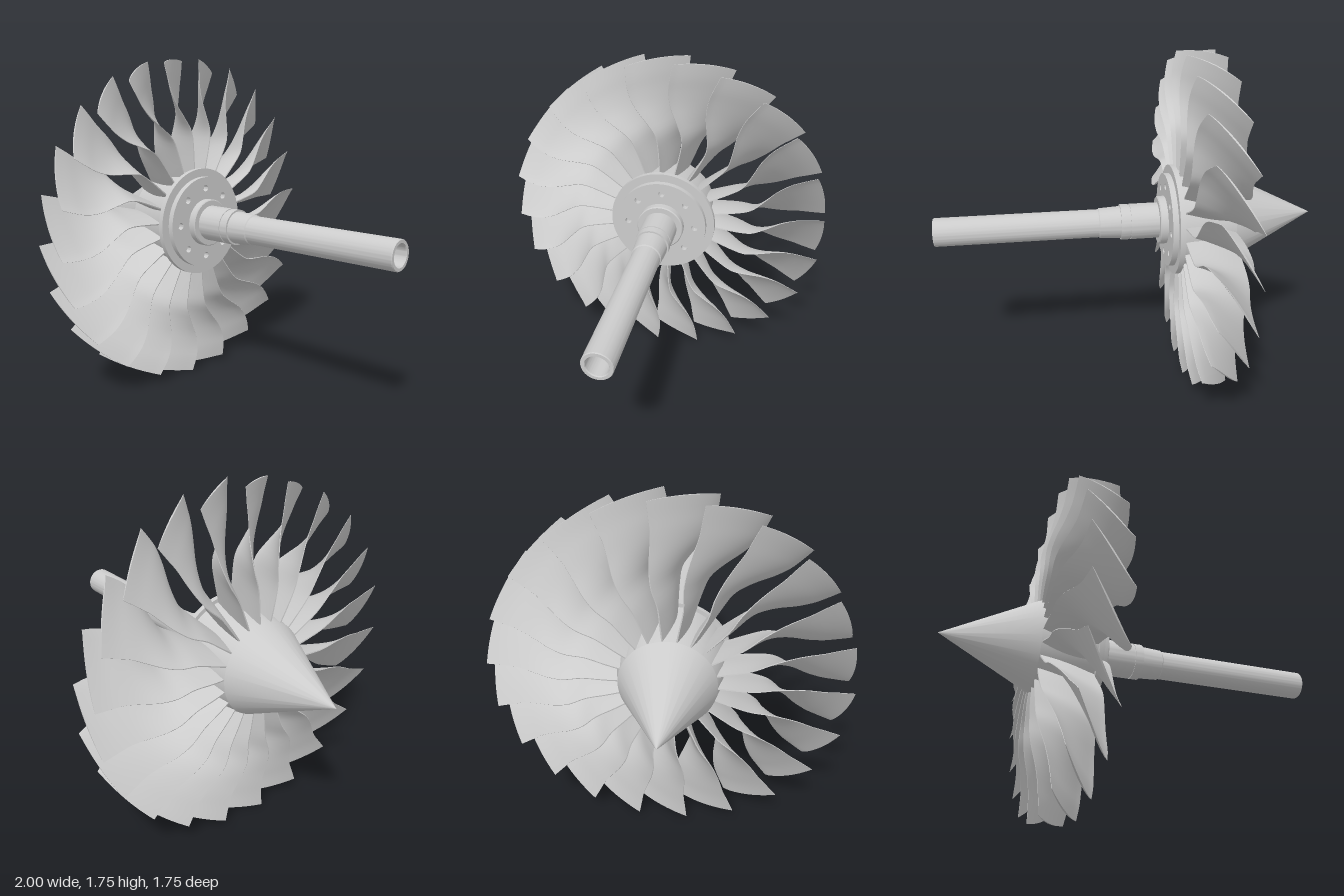
import * as THREE from 'three';
import { toCreasedNormals } from 'three/addons/utils/BufferGeometryUtils.js';

const BLADES = 22;
const AXIS_Y = 0.875;
const grey = new THREE.MeshStandardMaterial({ color: 0xcccccc });

function addMesh(parent, name, geometry) {
  const mesh = new THREE.Mesh(geometry, grey);
  mesh.name = name;
  parent.add(mesh);
  return mesh;
}

// Turns a profile of [x, radius] points around the x axis
function turned(profile, segments = 72) {
  const points = profile.map(([x, r]) => new THREE.Vector2(r, x));
  const geometry = new THREE.LatheGeometry(points, segments).rotateZ(-Math.PI / 2);
  return toCreasedNormals(geometry, 0.5);
}

// Blade stations: radius, trailing x, trailing angle, leading x, leading angle (degrees), thickness
const STATIONS = [
  [0.2, -0.262, 9, -0.525, 20, 0.036],
  [0.3, -0.26, 9.3, -0.53, 20, 0.032],
  [0.4, -0.258, 9.6, -0.53, 20, 0.026],
  [0.49, -0.256, 8.8, -0.53, 22, 0.022],
  [0.57, -0.256, 4.6, -0.517, 22, 0.018],
  [0.65, -0.256, 0.8, -0.495, 21, 0.015],
  [0.73, -0.258, -0.8, -0.48, 20, 0.012],
  [0.8, -0.265, -0.7, -0.475, 20, 0.01],
  [0.875, -0.282, 0, -0.473, 20, 0.008],
];

// Twisted blade lofted through closed cross-sections
function bladeGeometry() {
  const curve = (cx, ca) =>
    new THREE.CatmullRomCurve3(STATIONS.map((s) => new THREE.Vector3(s[cx], s[0], s[ca])), false, 'catmullrom', 0.5);
  const trail = curve(1, 2), lead = curve(3, 4), thick = curve(5, 5);
  const rows = 24, M = 12, N = 2 * M + 2;
  const positions = [], index = [];

  for (let i = 0; i <= rows; i++) {
    const u = i / rows;
    const a = trail.getPoint(u), b = lead.getPoint(u);
    const r = a.y, t = thick.getPoint(u).x;
    const a0 = THREE.MathUtils.degToRad(a.z), a1 = THREE.MathUtils.degToRad(b.z);
    const cx = b.x - a.x, ct = r * (a1 - a0), len = Math.hypot(cx, ct);
    const bend = 1.45 - 0.3 * u;
    for (let j = 0; j < N; j++) {
      const side = j <= M ? 1 : -1;
      const s = (j <= M ? j : N - 1 - j) / M;
      const half = side * t * (0.1 + 0.4 * Math.sin(Math.PI * s));
      const x = a.x + cx * s - (ct / len) * half;
      const angle = a0 + (a1 - a0) * Math.pow(s, bend) + ((cx / len) * half) / r;
      positions.push(x, r * Math.cos(angle), -r * Math.sin(angle));
    }
  }
  for (let i = 0; i < rows; i++) {
    for (let j = 0; j < N; j++) {
      const p = i * N + j, q = i * N + ((j + 1) % N);
      index.push(p, p + N, q, q, p + N, q + N);
    }
  }
  // Tip cap
  const top = rows * N;
  for (let j = 0; j < M; j++) {
    const up = top + j, low = top + N - 1 - j;
    index.push(low, low - 1, up + 1, low, up + 1, up);
  }
  const geometry = new THREE.BufferGeometry();
  geometry.setAttribute('position', new THREE.Float32BufferAttribute(positions, 3));
  geometry.setIndex(index);
  return toCreasedNormals(geometry, 0.7);
}

// Flange ring with a circle of bolt holes
function boltPlateGeometry(radius, depth) {
  const shape = new THREE.Shape().absarc(0, 0, radius, 0, Math.PI * 2);
  const hole = (x, y, r) => shape.holes.push(new THREE.Path().absarc(x, y, r, 0, Math.PI * 2, true));
  hole(0, 0, 0.1);
  for (let i = 0; i < 8; i++) {
    const a = (i * Math.PI) / 4;
    hole(0.187 * Math.cos(a), 0.187 * Math.sin(a), 0.018);
  }
  const geometry = new THREE.ExtrudeGeometry(shape, { depth, bevelEnabled: false, curveSegments: 36 });
  return toCreasedNormals(geometry.rotateY(Math.PI / 2), 0.5);
}

export function createModel() {
  const model = new THREE.Group();
  model.name = 'fanRotor';
  const rotor = new THREE.Group();
  rotor.name = 'rotor';
  rotor.position.y = AXIS_Y;
  model.add(rotor);

  // Nose cone and the hub drum under the blades
  addMesh(rotor, 'noseCone', turned([[-1, 0], [-0.9, 0.05], [-0.53, 0.235]]));
  addMesh(rotor, 'hub', turned([[-0.53, 0.235], [-0.42, 0.258], [-0.25, 0.272]]));

  // Flanges
  addMesh(rotor, 'rearFlange', turned([[-0.257, 0], [-0.257, 0.291], [-0.23, 0.291], [-0.23, 0]]));
  addMesh(rotor, 'boltPlate', boltPlateGeometry(0.247, 0.03)).position.x = -0.23;

  // Hollow stepped shaft
  addMesh(rotor, 'shaft', turned([
    [-0.23, 0.127], [-0.165, 0.127], [-0.16, 0.122], [-0.16, 0.094],
    [-0.012, 0.094], [-0.012, 0.09], [-0.004, 0.09], [-0.004, 0.094], [0.04, 0.094],
    [0.04, 0.085], [0.15, 0.079], [0.155, 0.074], [0.995, 0.074],
    [1, 0.071], [1, 0.056], [0.995, 0.053], [-0.15, 0.053],
    [-0.15, 0.023], [-0.225, 0.023], [-0.225, 0],
  ]));

  // Ring of blades
  const blades = new THREE.Group();
  blades.name = 'blades';
  rotor.add(blades);
  const blade = bladeGeometry();
  for (let i = 0; i < BLADES; i++) {
    const mesh = addMesh(blades, 'blade', blade);
    mesh.rotation.x = -THREE.MathUtils.degToRad(2.2) - (i * Math.PI * 2) / BLADES;
  }
  return model;
}
